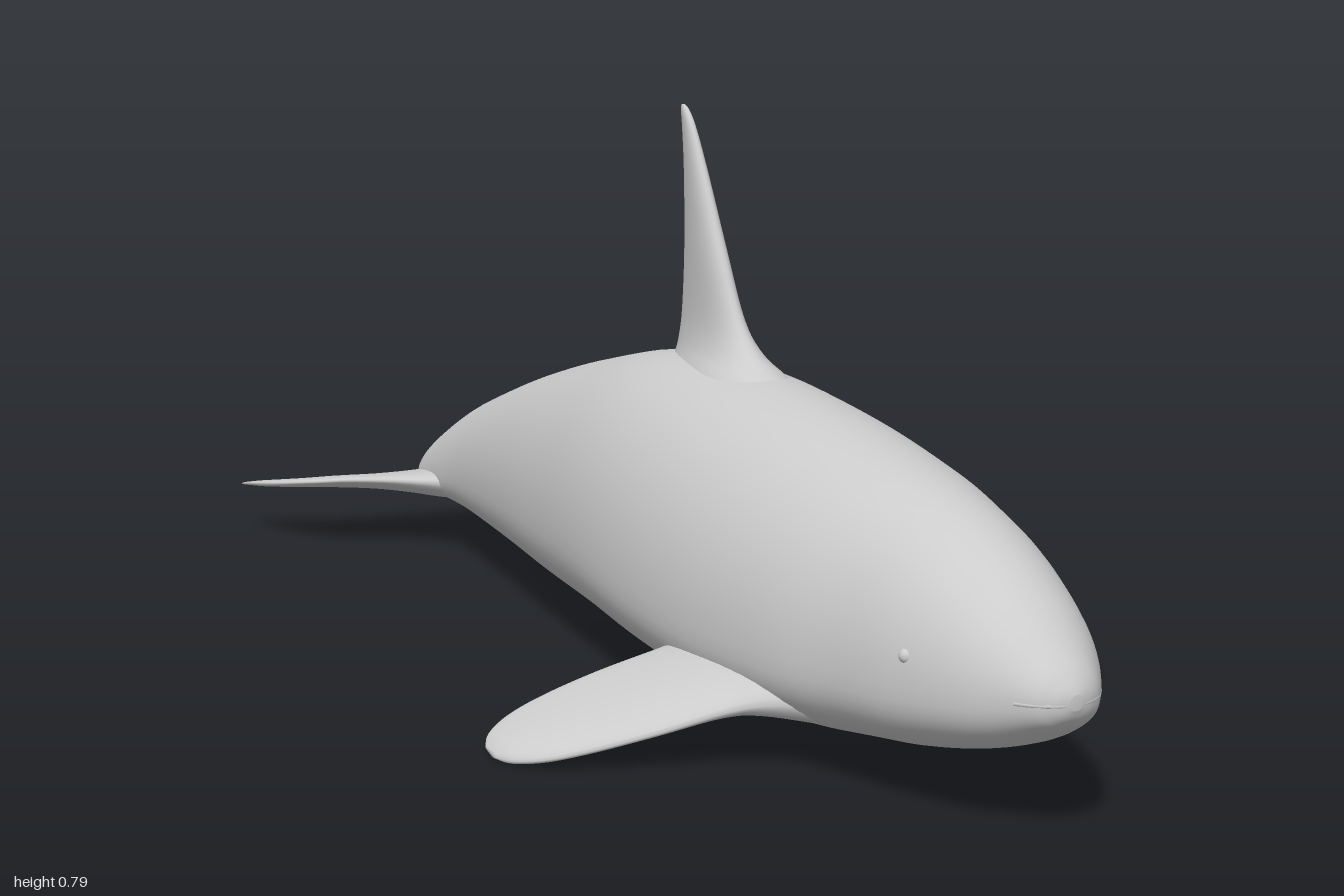
import * as THREE from 'three';

const material = new THREE.MeshStandardMaterial({ color: 0xcccccc });

// Smoothly resamples rows of station values (Catmull-Rom on every column)
function smooth(rows, steps) {
  const at = (i) => rows[Math.min(Math.max(i, 0), rows.length - 1)];
  const out = [];
  for (let i = 0; i < rows.length - 1; i++) {
    for (let s = 0; s < steps; s++) {
      const t = s / steps;
      out.push(rows[i].map((b, k) => {
        const a = at(i - 1)[k], c = at(i + 1)[k], d = at(i + 2)[k];
        return b + 0.5 * t * (c - a + t * (2 * a - 5 * b + 4 * c - d + t * (3 * (b - c) + d - a)));
      }));
    }
  }
  out.push(rows[rows.length - 1]);
  return out;
}

// Skins closed cross-sections, caps both ends and turns the faces outwards
function loft(name, rings) {
  const n = rings[0].length, pts = rings.flat(), index = [];
  for (let r = 0; r < rings.length - 1; r++) {
    for (let j = 0; j < n; j++) {
      const a = r * n + j, b = r * n + (j + 1) % n;
      index.push(a, b, a + n, b, b + n, a + n);
    }
  }
  [0, rings.length - 1].forEach((r) => {
    const centre = new THREE.Vector3();
    rings[r].forEach((p) => centre.addScaledVector(p, 1 / n));
    const c = pts.push(centre) - 1;
    for (let j = 0; j < n; j++) {
      const a = r * n + j, b = r * n + (j + 1) % n;
      if (r === 0) index.push(c, b, a); else index.push(c, a, b);
    }
  });
  let volume = 0;
  const cross = new THREE.Vector3();
  for (let i = 0; i < index.length; i += 3) {
    volume += cross.crossVectors(pts[index[i]], pts[index[i + 1]]).dot(pts[index[i + 2]]);
  }
  if (volume < 0) index.reverse();
  const geometry = new THREE.BufferGeometry().setFromPoints(pts);
  geometry.setIndex(index);
  geometry.computeVertexNormals();
  const mesh = new THREE.Mesh(geometry, material);
  mesh.name = name;
  return mesh;
}

// Ring of n points from a function of the angle
const ring = (n, f) => Array.from({ length: n }, (_, j) => {
  const a = (j / n) * Math.PI * 2;
  return f(Math.cos(a), Math.sin(a));
});
const V = (x, y, z) => new THREE.Vector3(x, y, z);
const foil = (c, s) => s * (0.72 + 0.28 * c); // round leading edge, thin trailing edge

function makeBody() {
  // z, half width, bottom, top, height ratio of the widest line
  const stations = [
    [1.0, 0.008, 0.172, 0.19, 0.5],
    [0.992, 0.03, 0.156, 0.205, 0.48],
    [0.97, 0.055, 0.138, 0.23, 0.45],
    [0.9, 0.1, 0.103, 0.288, 0.38],
    [0.8, 0.136, 0.076, 0.343, 0.34],
    [0.7, 0.16, 0.06, 0.376, 0.33],
    [0.58, 0.19, 0.046, 0.4, 0.32],
    [0.4, 0.208, 0.036, 0.427, 0.32],
    [0.2, 0.206, 0.042, 0.445, 0.33],
    [0, 0.188, 0.05, 0.442, 0.36],
    [-0.2, 0.162, 0.055, 0.4, 0.38],
    [-0.4, 0.133, 0.064, 0.345, 0.4],
    [-0.6, 0.106, 0.075, 0.277, 0.38],
    [-0.7, 0.098, 0.08, 0.235, 0.32],
    [-0.8, 0.085, 0.08, 0.18, 0.3],
    [-0.87, 0.05, 0.08, 0.126, 0.4],
    [-0.9, 0.01, 0.085, 0.1, 0.5],
  ];
  return loft('body', smooth(stations, 6).map(([z, w, lo, hi, k]) => {
    const mid = lo + (hi - lo) * k;
    return ring(56, (c, s) => {
      const e = s < 0 ? 0.8 : 1; // flatter belly
      const x = w * Math.sign(c) * Math.abs(c) ** e;
      return V(x, s > 0 ? mid + (hi - mid) * s : mid - (mid - lo) * Math.abs(s) ** e, z);
    });
  }));
}

function makeDorsalFin() {
  // y, front z, back z, half thickness
  const stations = [
    [0.4, 0.32, -0.03, 0.1],
    [0.435, 0.28, -0.01, 0.07],
    [0.465, 0.225, 0, 0.042],
    [0.51, 0.18, 0.008, 0.027],
    [0.6, 0.13, 0.014, 0.021],
    [0.7, 0.078, 0.012, 0.014],
    [0.76, 0.045, 0.006, 0.009],
    [0.786, 0.025, 0.002, 0.006],
    [0.795, 0.012, 0.003, 0.002],
  ];
  return loft('dorsalFin', smooth(stations, 5).map(([y, f, b, t]) =>
    ring(28, (c, s) => V(t * foil(c, s), y, (f + b) / 2 + ((f - b) / 2) * c))));
}

// Horizontal fin: x, front z, back z, front y, back y, half thickness
const spanRings = (rows, side = 1) => rows.map(([x, f, b, yf, yb, t]) =>
  ring(28, (c, s) => V(side * x,
    (yf + yb) / 2 + ((yf - yb) / 2) * c + t * foil(c, s),
    (f + b) / 2 + ((f - b) / 2) * c)));

function makeFlipper(name, side) {
  const stations = [
    [0.13, 0.66, 0.32, 0.1, 0.11, 0.05],
    [0.18, 0.6, 0.338, 0.095, 0.112, 0.038],
    [0.225, 0.565, 0.348, 0.083, 0.108, 0.026],
    [0.3, 0.53, 0.338, 0.058, 0.088, 0.02],
    [0.37, 0.488, 0.324, 0.034, 0.062, 0.018],
    [0.42, 0.452, 0.324, 0.018, 0.042, 0.015],
    [0.452, 0.415, 0.335, 0.01, 0.025, 0.011],
    [0.465, 0.385, 0.355, 0.009, 0.014, 0.004],
  ];
  return loft(name, spanRings(smooth(stations, 5), side));
}

function makeFlukes() {
  const half = [
    [0, -0.6, -0.885, 0.13, 0.088, 0.036],
    [0.03, -0.6, -0.9, 0.13, 0.087, 0.035],
    [0.07, -0.63, -0.912, 0.125, 0.086, 0.032],
    [0.11, -0.685, -0.917, 0.122, 0.086, 0.024],
    [0.16, -0.735, -0.923, 0.121, 0.086, 0.017],
    [0.22, -0.775, -0.938, 0.12, 0.086, 0.013],
    [0.27, -0.808, -0.962, 0.116, 0.085, 0.01],
    [0.31, -0.89, -0.99, 0.102, 0.084, 0.007],
    [0.328, -0.965, -0.999, 0.09, 0.083, 0.003],
  ];
  const mirrored = half.slice(1).reverse().map(([x, ...rest]) => [-x, ...rest]);
  return loft('tailFlukes', spanRings(smooth([...mirrored, ...half], 5)));
}

export function createModel() {
  const group = new THREE.Group();
  group.name = 'whale';
  group.add(makeBody(), makeDorsalFin(), makeFlukes());

  // Paired flippers and eyes
  [['left', 1], ['right', -1]].forEach(([label, side]) => {
    group.add(makeFlipper(label + 'Flipper', side));
    const eye = new THREE.Mesh(new THREE.SphereGeometry(0.01, 16, 12), material);
    eye.name = label + 'Eye';
    eye.position.set(side * 0.12, 0.208, 0.82);
    group.add(eye);
  });

  // Lip line around the snout
  const lip = new THREE.CatmullRomCurve3([
    V(-0.06, 0.178, 0.96), V(-0.042, 0.178, 0.981), V(-0.02, 0.178, 0.994), V(0, 0.178, 0.997),
    V(0.02, 0.178, 0.994), V(0.042, 0.178, 0.981), V(0.06, 0.178, 0.96),
  ]);
  const mouth = new THREE.Mesh(new THREE.TubeGeometry(lip, 32, 0.003, 8), material);
  mouth.name = 'mouth';
  group.add(mouth);
  return group;
}
